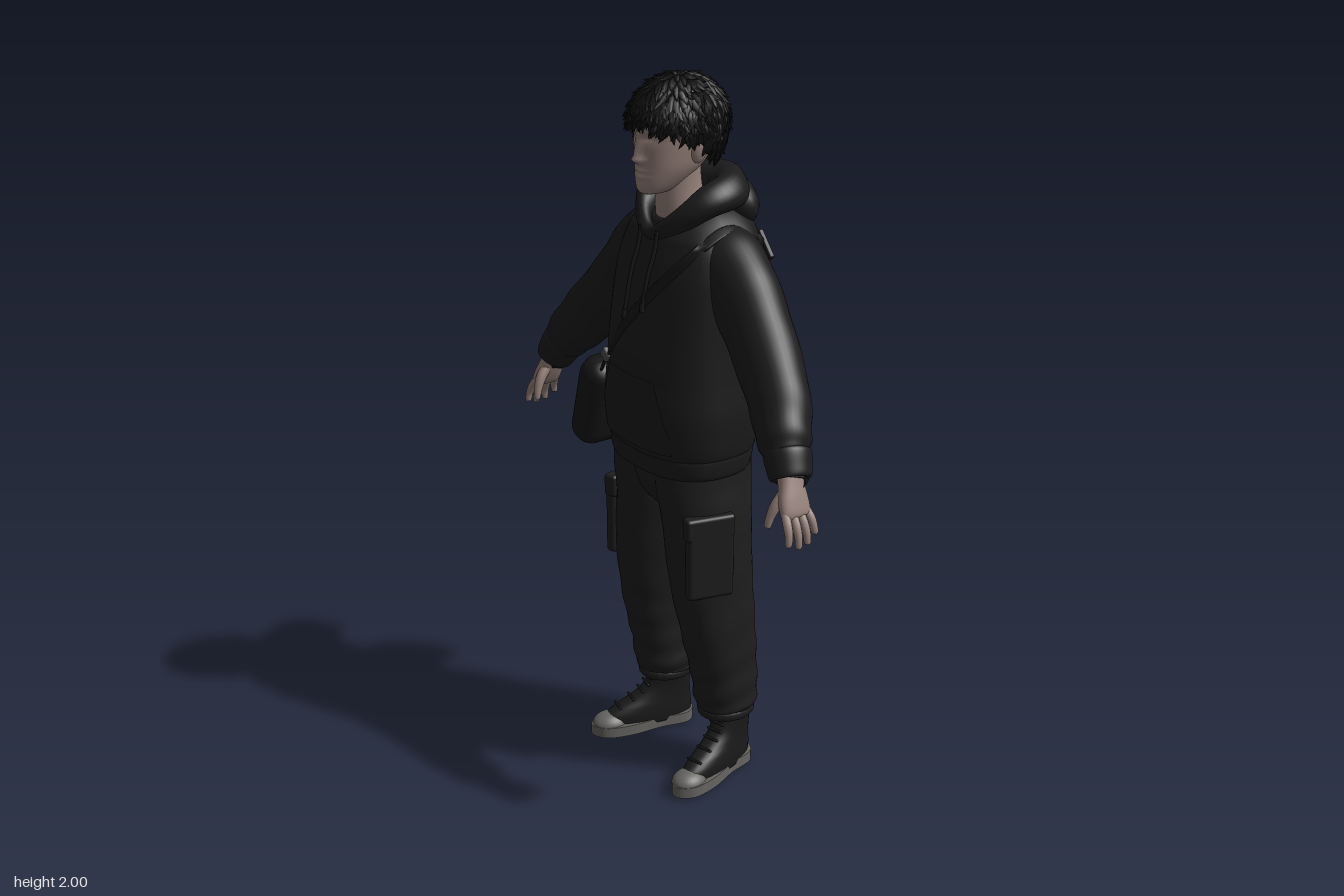
import * as THREE from 'three';
import { mergeGeometries } from 'three/addons/utils/BufferGeometryUtils.js';
import { RoundedBoxGeometry } from 'three/addons/geometries/RoundedBoxGeometry.js';

const V = (x, y, z) => new THREE.Vector3(x, y, z);
const mat = (name, color) => new THREE.MeshStandardMaterial({ name, color });
const gauss = (d, w) => Math.exp(-(d * d) / (w * w));

// Skin over smooth cross-sections; each key is [x, y, z, halfWidth, halfDepth].
// With an axis all sections stay parallel, otherwise they follow the path.
function loft(keys, { n = 28, sub = 6, e = 2, hint = () => V(0, 0, 1), axis, closed = false, fold, sculpt } = {}) {
  const path = new THREE.CatmullRomCurve3(keys.map(k => V(k[0], k[1], k[2])), closed, 'catmullrom');
  const size = new THREE.CatmullRomCurve3(keys.map(k => V(k[3], k[4], 0)), closed, 'catmullrom');
  const rows = (closed ? keys.length : keys.length - 1) * sub;
  const pos = [], index = [], count = closed ? rows : rows + 1;
  for (let i = 0; i < count; i++) {
    const t = i / rows, p = path.getPoint(t), r = size.getPoint(t), T = axis || path.getTangent(t);
    const u = hint(p).cross(T).normalize(), v = T.clone().cross(u);
    for (let j = 0; j < n; j++) {
      const a = j / n * Math.PI * 2, c = Math.cos(a), s = Math.sin(a), f = 1 + (fold ? fold(a, t) : 0);
      const q = p.clone()
        .addScaledVector(u, Math.sign(c) * Math.abs(c) ** (2 / e) * Math.max(r.x, 0.0005) * f)
        .addScaledVector(v, Math.sign(s) * Math.abs(s) ** (2 / e) * Math.max(r.y, 0.0005) * f);
      if (sculpt) sculpt(q);
      pos.push(q.x, q.y, q.z);
    }
  }
  for (let i = 0; i < rows; i++) for (let j = 0; j < n; j++) {
    const k = (j + 1) % n, a = i * n, b = ((i + 1) % count) * n;
    index.push(a + j, a + k, b + k, a + j, b + k, b + j);
  }
  if (!closed) for (let j = 1; j < n - 1; j++) {
    const b = rows * n;
    index.push(0, j + 1, j, b, b + j, b + j + 1);
  }
  const g = new THREE.BufferGeometry();
  g.setAttribute('position', new THREE.Float32BufferAttribute(pos, 3));
  g.setIndex(index);
  g.computeVertexNormals();
  return g;
}
// Stack of upright sections, each [height, half width, front z, back z]
const stack = (rings, opts) => loft(rings.map(([y, w, f, b]) => [0, y, (f + b) / 2, w, (f - b) / 2]), { axis: V(0, 1, 0), ...opts });

const TORSO = [[0.985, 0.2, 0.15, -0.15], [1.0, 0.222, 0.172, -0.165], [1.1, 0.232, 0.181, -0.18], [1.2, 0.226, 0.175, -0.184],
  [1.3, 0.221, 0.166, -0.186], [1.42, 0.219, 0.148, -0.187], [1.5, 0.215, 0.128, -0.183], [1.57, 0.198, 0.102, -0.178],
  [1.62, 0.15, 0.085, -0.165], [1.65, 0.1, 0.075, -0.14], [1.655, 0.06, 0.06, -0.08]];
// Depth of the hoodie surface at x, y; side is 1 for the front, -1 for the back
function surface(x, y, side, lift) {
  let i = 0;
  while (i < TORSO.length - 2 && TORSO[i + 1][0] < y) i++;
  const A = TORSO[i], B = TORSO[i + 1], t = (y - A[0]) / (B[0] - A[0]);
  const [w, f, b] = [1, 2, 3].map(k => A[k] + (B[k] - A[k]) * t);
  const h = Math.max(0, 1 - Math.abs(x / w) ** 2.4) ** (1 / 2.4);
  return (f + b) / 2 + side * ((f - b) / 2 * h + lift);
}

export function createModel() {
  const model = new THREE.Group();
  model.name = 'standingFigure';
  const M = {
    skin: mat('skin', 0x958079), hair: mat('hair', 0x0d0d0d), hoodie: mat('hoodieBlack', 0x1b1b1b),
    trousers: mat('trouserBlack', 0x1d1d1d), bag: mat('bagBlack', 0x151515), shoe: mat('shoeBlack', 0x1a1a1a),
    sole: mat('soleGrey', 0x666562), metal: mat('buckleGrey', 0x4c4c4c),
  };
  const add = (name, geo, m, parent = model) => {
    const mesh = new THREE.Mesh(geo, m);
    mesh.name = name;
    parent.add(mesh);
    return mesh;
  };

  // Head with sculpted face, neck and ears
  add('head', stack([[1.69, 0.012, 0.118, 0.085], [1.698, 0.036, 0.133, 0.045], [1.72, 0.054, 0.138, 0], [1.76, 0.074, 0.136, -0.05],
    [1.8, 0.083, 0.137, -0.08], [1.85, 0.089, 0.139, -0.1], [1.9, 0.093, 0.14, -0.11], [1.94, 0.082, 0.115, -0.095],
    [1.965, 0.05, 0.075, -0.06], [1.972, 0.005, 0.015, 0]], {
    n: 64, sub: 8, e: 2.15, sculpt: q => {
      if (q.z < 0.06) return;
      const ax = Math.abs(q.x), y = q.y;
      const bridge = y > 1.785 ? Math.max(0, 1 - (y - 1.785) / 0.075) : gauss(y - 1.785, 0.011);
      q.z += 0.021 * gauss(ax, 0.012 + 0.004 * bridge) * bridge + 0.007 * gauss(ax - 0.014, 0.008) * gauss(y - 1.783, 0.009);
      q.z += -0.011 * gauss(ax - 0.035, 0.019) * gauss(y - 1.842, 0.012) + 0.005 * gauss(ax - 0.035, 0.014) * gauss(y - 1.837, 0.006);
      q.z += 0.005 * gauss(ax - 0.03, 0.03) * gauss(y - 1.866, 0.01);
      q.z += 0.006 * gauss(ax, 0.024) * (gauss(y - 1.755, 0.006) + gauss(y - 1.741, 0.006)) - 0.004 * gauss(ax, 0.026) * gauss(y - 1.748, 0.003);
    },
  }), M.skin);
  add('neck', loft([[0, 1.58, -0.01, 0.075, 0.075], [0, 1.64, 0.005, 0.066, 0.068], [0, 1.7, 0.012, 0.06, 0.063], [0, 1.76, 0.015, 0.06, 0.06]]), M.skin);
  for (const s of [1, -1]) {
    const ear = add('ear', new THREE.SphereGeometry(1, 16, 12).scale(0.011, 0.034, 0.02), M.skin);
    ear.position.set(s * 0.091, 1.808, 0.012);
    ear.rotation.set(-0.15, s * -0.35, s * -0.12);
  }

  // Hair: a cap over the skull and layered pointed locks flowing from the crown
  const hairEnd = phi => {
    const c = Math.cos(phi);
    return Math.PI / 2 + (1.87 - (1.84 + (c > 0 ? 0.06 : 0.09) * c)) / 0.12;
  };
  const scalp = (th, phi, k) => {
    const d = Math.max(0, th - Math.PI / 2), r = (d ? Math.cos(d * 0.75) : Math.sin(th)) * k;
    return V(Math.sin(phi) * 0.106 * r, 1.87 + (d ? -0.12 * d : 0.118 * Math.cos(th) * k), 0.012 + Math.cos(phi) * 0.135 * r);
  };
  const cap = new THREE.PlaneGeometry(1, 1, 48, 20), cp = cap.attributes.position;
  for (let i = 0; i < cp.count; i++) {
    const phi = (cp.getX(i) + 0.5) * Math.PI * 2, p = scalp((0.5 - cp.getY(i)) * hairEnd(phi), phi, 0.98);
    cp.setXYZ(i, p.x, p.y, p.z);
  }
  cap.computeVertexNormals();
  M.hair.side = THREE.DoubleSide;
  add('hairCap', cap, M.hair);
  let seed = 7;
  const rnd = () => (seed = (seed * 16807) % 2147483647) / 2147483647;
  const locks = [];
  for (let i = 0; i < 420; i++) {
    const phi = i * 2.39996, end = hairEnd(phi) + 0.02 + rnd() * 0.36;
    const t1 = Math.min(end, Math.acos(1 - 2 * (i + 0.5) / 420 * 0.85) + 0.35 + (rnd() - 0.5) * 0.2);
    const t0 = Math.max(0.03, t1 - 0.5 - rnd() * 0.2), turn = (rnd() - 0.5) * 0.5, out = 1.06 + rnd() * 0.11;
    const w = 0.009 + rnd() * 0.006;
    locks.push(loft([0, 0.35, 0.7, 1].map((k, j) => {
      const p = scalp(t0 + (t1 - t0) * k, phi + turn * k * k, [0.95, 1.01, 1.04, out][j]);
      return [p.x, p.y, p.z, [0.004, w, w * 0.7, 0.0005][j], [0.003, 0.009, 0.007, 0.0005][j]];
    }), { n: 5, sub: 2, hint: p => p.clone().sub(V(0, 1.86, 0.012)) }));
  }
  add('hairLocks', mergeGeometries(locks), M.hair);

  // Hoodie body, ribbed hem, hood and front pocket
  add('hoodieBody', stack(TORSO, {
    n: 56, e: 2.4, fold: (a, t) => 0.008 * Math.sin(a * 7 + 5 * t) * Math.sin(t * 3.1),
    sculpt: q => { if (q.y > 1.58) q.y -= (q.y - 1.58) * 5 * Math.max(0, q.z + 0.02); },
  }), M.hoodie);
  add('hoodieHem', stack([[0.932, 0.19, 0.14, -0.13], [0.937, 0.21, 0.16, -0.148], [0.965, 0.217, 0.167, -0.158],
    [0.995, 0.217, 0.167, -0.162], [1.005, 0.2, 0.15, -0.15]], { n: 90, e: 2.4, fold: a => 0.004 * Math.sin(a * 45) }), M.hoodie);
  const half = [[0.075, 1.622, 0.068, 0.025, 0.03], [0.118, 1.675, 0, 0.043, 0.042], [0.1, 1.69, -0.08, 0.05, 0.05]];
  const flip = half.map(([x, ...r]) => [-x, ...r]).reverse();
  add('hoodCollar', loft([[0, 1.585, 0.1, 0.018, 0.02], ...half, [0, 1.688, -0.125, 0.055, 0.055], ...flip],
    { closed: true, hint: () => V(0, 1, 0.3), fold: (a, t) => 0.05 * Math.sin(a * 3 + Math.sin(t * 6.28) * 4) }), M.hoodie);
  add('hoodBack', new THREE.SphereGeometry(1, 32, 20).scale(0.145, 0.088, 0.07).rotateX(0.2).translate(0, 1.645, -0.124), M.hoodie);
  const pocket = new THREE.PlaneGeometry(1, 1, 24, 10), pp = pocket.attributes.position;
  for (let i = 0; i < pp.count; i++) {
    const v = pp.getY(i) + 0.5, y = 1.01 + 0.2 * v, x = pp.getX(i) * 2 * (0.155 - 0.07 * Math.max(0, v - 0.25));
    pp.setXYZ(i, x, y, surface(x, y, 1, 0.006));
  }
  pocket.computeVertexNormals();
  M.hoodie.side = THREE.DoubleSide;
  add('frontPocket', pocket, M.hoodie);
  for (const [x, low] of [[-0.032, 1.365], [0.042, 1.4]]) {
    const pts = [1.6, 1.55, 1.48, low].map((y, i) => V(x, y, surface(x, y, 1, i ? 0.01 : 0.02)));
    add('drawstring', new THREE.TubeGeometry(new THREE.CatmullRomCurve3(pts), 20, 0.0055, 8), M.bag);
    add('drawstringTip', new THREE.CylinderGeometry(0.006, 0.008, 0.025, 8).translate(x, low, pts[3].z), M.bag);
  }

  for (const s of [1, -1]) {
    const side = s > 0 ? 'left' : 'right';
    const mir = keys => keys.map(([x, ...r]) => [x * s, ...r]);

    // Sleeve and cuff
    add(side + 'Sleeve', loft(mir([[0.07, 1.55, -0.045, 0.06, 0.07], [0.14, 1.52, -0.04, 0.1, 0.092], [0.22, 1.455, -0.035, 0.108, 0.09],
      [0.31, 1.355, -0.026, 0.1, 0.086], [0.42, 1.24, 0.002, 0.09, 0.08], [0.485, 1.165, 0.034, 0.076, 0.072],
      [0.515, 1.125, 0.048, 0.062, 0.062], [0.525, 1.113, 0.05, 0.04, 0.04]]),
    { n: 36, sub: 10, fold: (a, t) => 0.03 * t * Math.sin(t * 42 + 2 * Math.sin(a + s)) }), M.hoodie);
    add(side + 'Cuff', loft(mir([[0.512, 1.135, 0.044, 0.05, 0.052], [0.52, 1.122, 0.048, 0.061, 0.063], [0.54, 1.09, 0.056, 0.056, 0.06],
      [0.552, 1.068, 0.06, 0.05, 0.054], [0.554, 1.065, 0.061, 0.03, 0.03]]), { n: 60, fold: a => 0.015 * Math.sin(a * 30) }), M.hoodie);

    // Hand with four fingers and a thumb
    const hand = new THREE.Group();
    hand.name = side + 'Hand';
    model.add(hand);
    add('palm', loft(mir([[0.54, 1.09, 0.058, 0.028, 0.032], [0.558, 1.055, 0.064, 0.024, 0.036], [0.576, 1.015, 0.07, 0.022, 0.044],
      [0.59, 0.985, 0.072, 0.017, 0.043], [0.594, 0.976, 0.072, 0.006, 0.03]]), { e: 2.4 }), M.skin, hand);
    for (let f = 0; f < 4; f++) {
      const z = 0.104 - f * 0.0215, d = (1.5 - f) * 0.004, len = [0.92, 1.05, 1, 0.78][f];
      add('finger', loft(mir([[0.586, 0.995, z, 0.011, 0.012], [0.586 + 0.02 * len, 0.995 - 0.03 * len, z + d, 0.0115, 0.012],
        [0.586 + 0.031 * len, 0.995 - 0.056 * len, z + d * 1.5, 0.01, 0.0105], [0.586 + 0.034 * len, 0.995 - 0.08 * len, z + d * 2, 0.008, 0.009],
        [0.586 + 0.034 * len, 0.995 - 0.084 * len, z + d * 2, 0.002, 0.002]]), { n: 12 }), M.skin, hand);
    }
    add('thumb', loft(mir([[0.56, 1.045, 0.08, 0.015, 0.016], [0.555, 1.01, 0.108, 0.015, 0.015], [0.55, 0.98, 0.122, 0.012, 0.012],
      [0.547, 0.952, 0.129, 0.009, 0.009], [0.547, 0.948, 0.13, 0.002, 0.002]]), { n: 12 }), M.skin, hand);

    // Trouser leg with bunched folds, ankle cuff and cargo pocket
    add(side + 'TrouserLeg', loft(mir([[0.097, 1.0, 0, 0.1, 0.136], [0.1, 0.9, 0, 0.102, 0.141], [0.108, 0.8, -0.004, 0.106, 0.131],
      [0.129, 0.62, -0.004, 0.097, 0.122], [0.145, 0.45, -0.02, 0.086, 0.108], [0.147, 0.32, -0.038, 0.082, 0.096],
      [0.146, 0.22, -0.047, 0.083, 0.088], [0.146, 0.195, -0.047, 0.065, 0.07]]),
    { n: 40, sub: 12, e: 2.2, fold: (a, t) => 0.04 * t * t * Math.sin(t * 58 + 2.2 * Math.sin(a + 2 * s)) + 0.01 * Math.sin(a * 4 + t * 9) }), M.trousers);
    add(side + 'AnkleCuff', loft(mir([[0.146, 0.215, -0.047, 0.06, 0.065], [0.146, 0.2, -0.047, 0.075, 0.083], [0.146, 0.18, -0.047, 0.073, 0.081],
      [0.146, 0.17, -0.047, 0.055, 0.06]]), { n: 60, fold: a => 0.012 * Math.sin(a * 24) }), M.trousers);
    const cargo = add(side + 'CargoPocket', new RoundedBoxGeometry(0.036, 0.22, 0.135, 3, 0.014), M.trousers);
    const flap = add(side + 'PocketFlap', new RoundedBoxGeometry(0.042, 0.065, 0.142, 3, 0.01), M.trousers);
    cargo.position.set(s * 0.203, 0.7, 0.055);
    flap.position.set(s * 0.2, 0.8, 0.055);
    cargo.rotation.y = flap.rotation.y = -s * 0.25;

    // High-top shoe, toes turned out
    const shoe = new THREE.Group();
    shoe.name = side + 'Shoe';
    shoe.position.set(s * 0.153, 0, -0.06);
    shoe.rotation.y = s * 0.25;
    model.add(shoe);
    const outline = new THREE.CatmullRomCurve3([[0, -0.075], [0.036, -0.05], [0.04, 0.04], [0.052, 0.14], [0.04, 0.215], [0, 0.244],
      [-0.038, 0.215], [-0.05, 0.14], [-0.04, 0.04], [-0.036, -0.05]].map(([x, z]) => V(x, -z, 0)), true).getPoints(60);
    add('sole', new THREE.ExtrudeGeometry(new THREE.Shape(outline.map(p => new THREE.Vector2(p.x, p.y))),
      { depth: 0.032, bevelEnabled: false }).rotateX(-Math.PI / 2), M.sole, shoe);
    add('upper', stack([[0.02, 0.042, 0.215, -0.068], [0.05, 0.045, 0.205, -0.07], [0.075, 0.044, 0.17, -0.068], [0.1, 0.042, 0.12, -0.066],
      [0.13, 0.042, 0.08, -0.064], [0.17, 0.045, 0.06, -0.064], [0.21, 0.044, 0.055, -0.06]], { e: 2.2 }), M.shoe, shoe);
    add('toeCap', new THREE.SphereGeometry(1, 24, 16).scale(0.046, 0.034, 0.054).translate(0, 0.028, 0.186), M.sole, shoe);
    for (let k = 0; k < 5; k++) {
      const lace = add('lace', new THREE.CapsuleGeometry(0.004, 0.045, 3, 8).rotateZ(Math.PI / 2), M.bag, shoe);
      lace.position.set(0, 0.08 + k * 0.02, [0.162, 0.12, 0.09, 0.073, 0.064][k]);
    }
  }

  // Trouser seat joining the legs
  add('trouserSeat', stack([[0.78, 0.02, 0.04, -0.05], [0.81, 0.07, 0.085, -0.095], [0.86, 0.15, 0.117, -0.123], [0.93, 0.195, 0.132, -0.136],
    [1.0, 0.195, 0.138, -0.14]], { n: 44, e: 2.3 }), M.trousers);

  // Shoulder bag hanging at the right hip
  const bag = new THREE.Group();
  bag.name = 'shoulderBag';
  bag.position.set(-0.247, 1.04, 0);
  bag.rotation.z = -0.27;
  model.add(bag);
  const box = (name, w, h, d, r, x, y, z, m = M.bag) => add(name, new RoundedBoxGeometry(w, h, d, 4, r).translate(x, y, z), m, bag);
  box('bagBody', 0.11, 0.27, 0.35, 0.05, 0, 0, 0);
  box('bagPocket', 0.045, 0.15, 0.24, 0.02, -0.046, -0.035, 0);
  box('bagFlap', 0.105, 0.11, 0.31, 0.04, -0.01, 0.075, 0);
  box('bagBackPanel', 0.075, 0.17, 0.2, 0.03, 0.017, -0.052, -0.08, M.metal);
  for (const z of [0.07, -0.07]) {
    box('bagWebbing', 0.008, 0.13, 0.022, 0.003, -0.068, 0.02, z);
    box('bagBuckle', 0.01, 0.026, 0.03, 0.004, -0.071, 0.02, z, M.metal);
  }

  // Crossbody strap over the left shoulder, with pads and buckles
  const on = (x, y, side) => [x, y, surface(x, y, side, 0.004), 0.014, 0.0045];
  const lean = p => V(p.x * 1.5, p.y > 1.57 ? 0.5 : 0.02, p.z + 0.02);
  add('strap', loft([[-0.22, 1.13, 0.12, 0.014, 0.0045], on(-0.15, 1.2, 1), on(-0.03, 1.34, 1), on(0.08, 1.46, 1), on(0.15, 1.55, 1),
    [0.17, 1.608, -0.03, 0.016, 0.005], on(0.155, 1.55, -1), on(0.09, 1.45, -1), on(0, 1.33, -1), on(-0.1, 1.2, -1), [-0.22, 1.12, -0.12, 0.014, 0.0045]],
  { n: 16, sub: 10, e: 4, hint: lean }), M.bag);
  const clip = (name, x, y, side, w, h, m) => {
    const c = add(name, new RoundedBoxGeometry(w, h, 0.016, 3, 0.005), m);
    c.position.set(x, y, surface(x, y, side, 0.008));
    c.rotation.z = -0.7 * side;
  };
  clip('strapBuckle', -0.135, 1.217, 1, 0.034, 0.03, M.metal);
  clip('strapPad', 0.145, 1.535, -1, 0.045, 0.085, M.bag);
  clip('strapPadBuckle', 0.118, 1.49, -1, 0.032, 0.022, M.metal);
  clip('rearStrapBuckle', -0.11, 1.19, -1, 0.036, 0.034, M.metal);
  return model;
}
